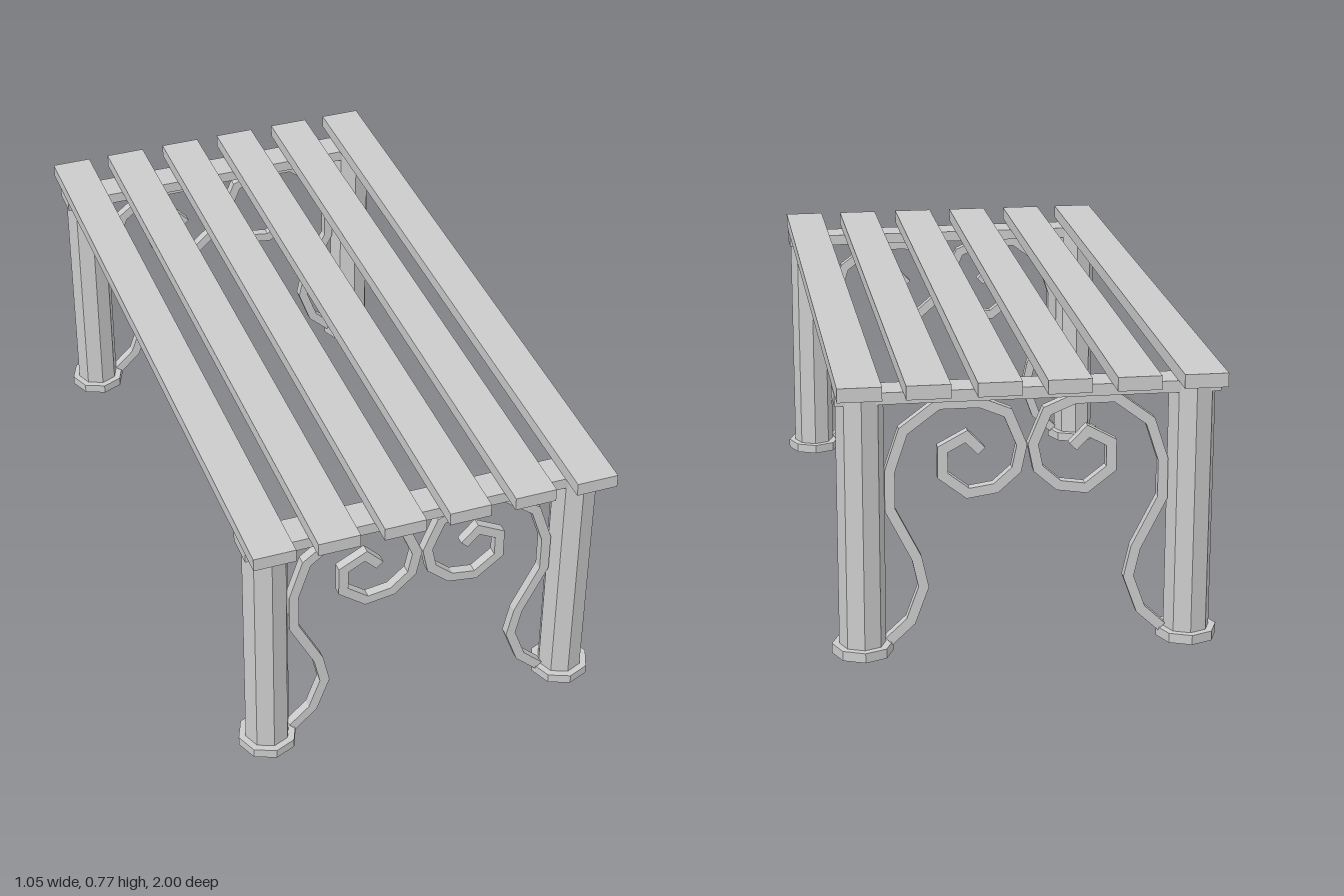
import * as THREE from 'three';

const material = new THREE.MeshStandardMaterial({ color: 0xcccccc, flatShading: true });
const openMaterial = new THREE.MeshStandardMaterial({ color: 0xcccccc, flatShading: true, side: THREE.DoubleSide });

const LEG_X = 0.441, LEG_Z = 0.88, LEG_R = 0.063;
const SEAT_Y = 0.735, BAR = 0.027;

// Centre line of one scroll, from the foot up and into the spiral
const SCROLL = [
  [0.371, 0.029], [0.312, 0.084], [0.277, 0.18], [0.295, 0.262], [0.365, 0.401], [0.365, 0.508],
  [0.329, 0.617], [0.236, 0.687], [0.126, 0.687], [0.052, 0.656], [0.015, 0.566], [0.029, 0.498],
  [0.084, 0.449], [0.158, 0.438], [0.225, 0.49], [0.225, 0.562], [0.162, 0.596], [0.122, 0.554],
];

function addMesh(parent, name, geometry, x, y, z, mat = material) {
  const mesh = new THREE.Mesh(geometry, mat);
  mesh.name = name;
  mesh.position.set(x, y, z);
  parent.add(mesh);
  return mesh;
}

// Square bar following a flat polyline, with mitred corners
function barGeometry(coords, width, depth) {
  const pts = coords.map(([x, y]) => new THREE.Vector2(x, y));
  const left = [], right = [];
  pts.forEach((p, i) => {
    const before = p.clone().sub(pts[Math.max(i - 1, 0)]).normalize();
    const after = pts[Math.min(i + 1, pts.length - 1)].clone().sub(p).normalize();
    const dir = before.clone().add(after).normalize();
    const ref = i === 0 ? after : before;
    const normal = new THREE.Vector2(-dir.y, dir.x).multiplyScalar(width / 2 / dir.dot(ref));
    left.push(p.clone().add(normal));
    right.unshift(p.clone().sub(normal));
  });
  const geometry = new THREE.ExtrudeGeometry(new THREE.Shape([...left, ...right]), { depth, bevelEnabled: false });
  return geometry.translate(0, 0, -depth / 2);
}

export function createModel() {
  const bench = new THREE.Group();
  bench.name = 'bench';

  // Seat slats
  const slat = new THREE.BoxGeometry(0.116, 0.038, 2);
  for (const x of [-0.452, -0.276, -0.094, 0.088, 0.273, 0.45]) {
    addMesh(bench, 'slat', slat, x, SEAT_Y + 0.019, 0);
  }

  // Hollow eight-sided legs, ring feet, cross beams and scrolls
  const beam = new THREE.BoxGeometry(1.018, 0.032, 0.093);
  const leg = new THREE.CylinderGeometry(LEG_R, LEG_R, SEAT_Y, 8, 1, true);
  const ring = [[LEG_R, 0], [0.083, 0], [0.083, 0.027], [LEG_R, 0.027]];
  const foot = new THREE.LatheGeometry(ring.map(([r, y]) => new THREE.Vector2(r, y)), 8);

  for (const end of [1, -1]) {
    const frame = new THREE.Group();
    frame.name = end > 0 ? 'frontFrame' : 'backFrame';
    frame.position.z = end * LEG_Z;
    bench.add(frame);

    addMesh(frame, 'crossBeam', beam, 0, SEAT_Y - 0.016, 0);
    for (const side of [1, -1]) {
      const label = side > 0 ? 'left' : 'right';
      addMesh(frame, label + 'Leg', leg, side * LEG_X, SEAT_Y / 2, 0, openMaterial);
      addMesh(frame, label + 'Foot', foot, side * LEG_X, 0, 0, openMaterial);
      const path = SCROLL.map(([x, y]) => [side * x, y]);
      addMesh(frame, label + 'Scroll', barGeometry(path, BAR, BAR), 0, 0, 0);
    }
  }
  return bench;
}
